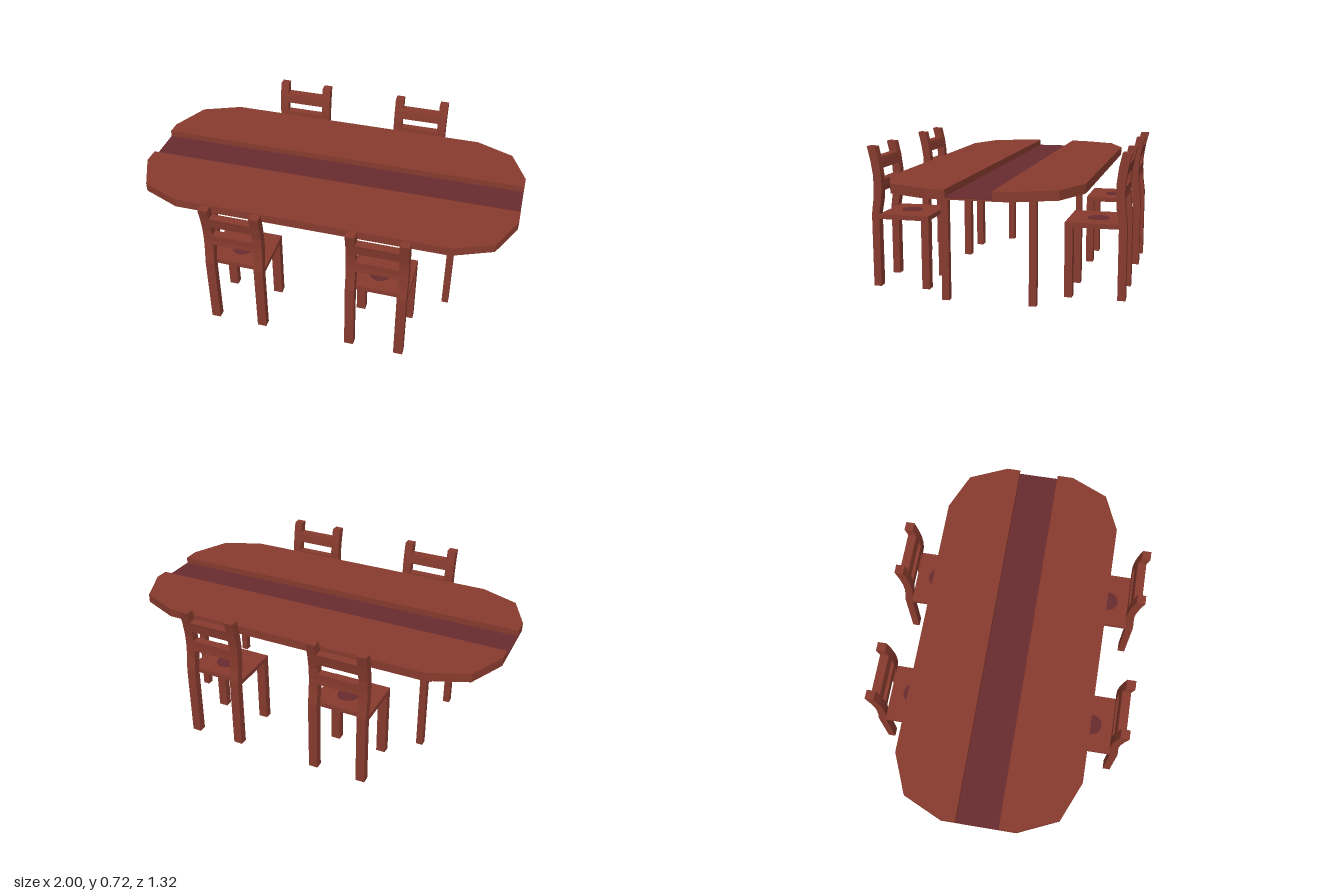
import * as THREE from 'three';

const wood = new THREE.MeshStandardMaterial({ color: 0x883b2e });
wood.name = 'reddish wood';
const darkWood = new THREE.MeshStandardMaterial({ color: 0x682c2e });
darkWood.name = 'dark wood';

function add(group, name, geometry, material = wood) {
  const mesh = new THREE.Mesh(geometry, material);
  mesh.name = name;
  group.add(mesh);
  return mesh;
}

// Box given by its limits on each axis
function box(x0, x1, y0, y1, z0, z1) {
  return new THREE.BoxGeometry(x1 - x0, y1 - y0, z1 - z0)
    .translate((x0 + x1) / 2, (y0 + y1) / 2, (z0 + z1) / 2);
}

// Table half: straight inner edge, faceted outer edge
function tableHalf(side, inner, outer) {
  const steps = [[1, inner], [1, outer - 0.285], [0.91, outer - 0.085], [0.71, outer]];
  const points = [...steps, ...steps.slice().reverse().map(([x, z]) => [-x, z])];
  const shape = new THREE.Shape(points.map(([x, z]) => new THREE.Vector2(x, -side * z)));
  return new THREE.ExtrudeGeometry(shape, { depth: 0.045, bevelEnabled: false })
    .rotateX(-Math.PI / 2).translate(0, 0.558, 0);
}

function createTable() {
  const table = new THREE.Group();
  table.name = 'table';
  add(table, 'frontTop', tableHalf(1, 0.098, 0.47));
  add(table, 'backTop', tableHalf(-1, 0.117, 0.475));
  // Sunken middle board with its dark face
  add(table, 'middleBoard', box(-1, 1, 0.558, 0.566, -0.117, 0.098));
  add(table, 'middleInlay', box(-1, 1, 0.566, 0.57, -0.117, 0.098), darkWood);
  for (const x of [-0.633, 0.687])
    for (const z of [0.202, -0.228])
      add(table, 'tableLeg', box(x - 0.017, x + 0.017, 0.005, 0.558, z - 0.018, z + 0.018));
  return table;
}

// Curved backrest: height, inner z, outer z
const BACK = [
  [0, 0.605, 0.644], [0.377, 0.605, 0.644], [0.45, 0.592, 0.634], [0.52, 0.588, 0.63],
  [0.58, 0.59, 0.632], [0.65, 0.599, 0.643], [0.722, 0.615, 0.66],
];

function backAt(y) {
  const i = Math.max(1, BACK.findIndex((p) => p[0] >= y));
  const [a, b] = [BACK[i - 1], BACK[i]];
  const t = (y - a[0]) / (b[0] - a[0]);
  return [y, a[1] + (b[1] - a[1]) * t, a[2] + (b[2] - a[2]) * t];
}

// Slice of the backrest profile, extruded from x0 to x1
function backSlice(x0, x1, y0, y1) {
  const rows = [backAt(y0), ...BACK.filter((p) => p[0] > y0 && p[0] < y1), backAt(y1)];
  const shape = new THREE.Shape([
    ...rows.map(([y, , outer]) => new THREE.Vector2(outer, y)),
    ...rows.slice().reverse().map(([y, inner]) => new THREE.Vector2(inner, y)),
  ]);
  return new THREE.ExtrudeGeometry(shape, { depth: x1 - x0, bevelEnabled: false })
    .rotateY(-Math.PI / 2).translate(x1, 0, 0);
}

function createChair() {
  const chair = new THREE.Group();
  const w = 0.152, post = 0.047;
  add(chair, 'seat', box(-w, w, 0.353, 0.377, 0.343, 0.606));
  add(chair, 'seatSpot', new THREE.CylinderGeometry(0.053, 0.053, 0.003, 24)
    .translate(-0.01, 0.3785, 0.488), darkWood);
  for (const [x0, x1] of [[-w, -w + post], [w - post, w]]) {
    add(chair, 'frontLeg', box(x0, x1, 0, 0.353, 0.343, 0.382));
    add(chair, 'backPost', backSlice(x0, x1, 0, 0.722));
  }
  for (const [y0, y1] of [[0.495, 0.552], [0.609, 0.666]])
    add(chair, 'backSlat', backSlice(-w + post, w - post, y0, y1));
  return chair;
}

export function createModel() {
  const model = new THREE.Group();
  model.name = 'diningSet';
  model.add(createTable());
  // Chairs on both long sides, facing the table
  const places = [
    ['frontRightChair', -0.338, 0], ['frontLeftChair', 0.389, 0],
    ['backRightChair', -0.343, Math.PI], ['backLeftChair', 0.356, Math.PI],
  ];
  for (const [name, x, turn] of places) {
    const chair = createChair();
    chair.name = name;
    chair.position.x = x;
    chair.rotation.y = turn;
    model.add(chair);
  }
  return model;
}
